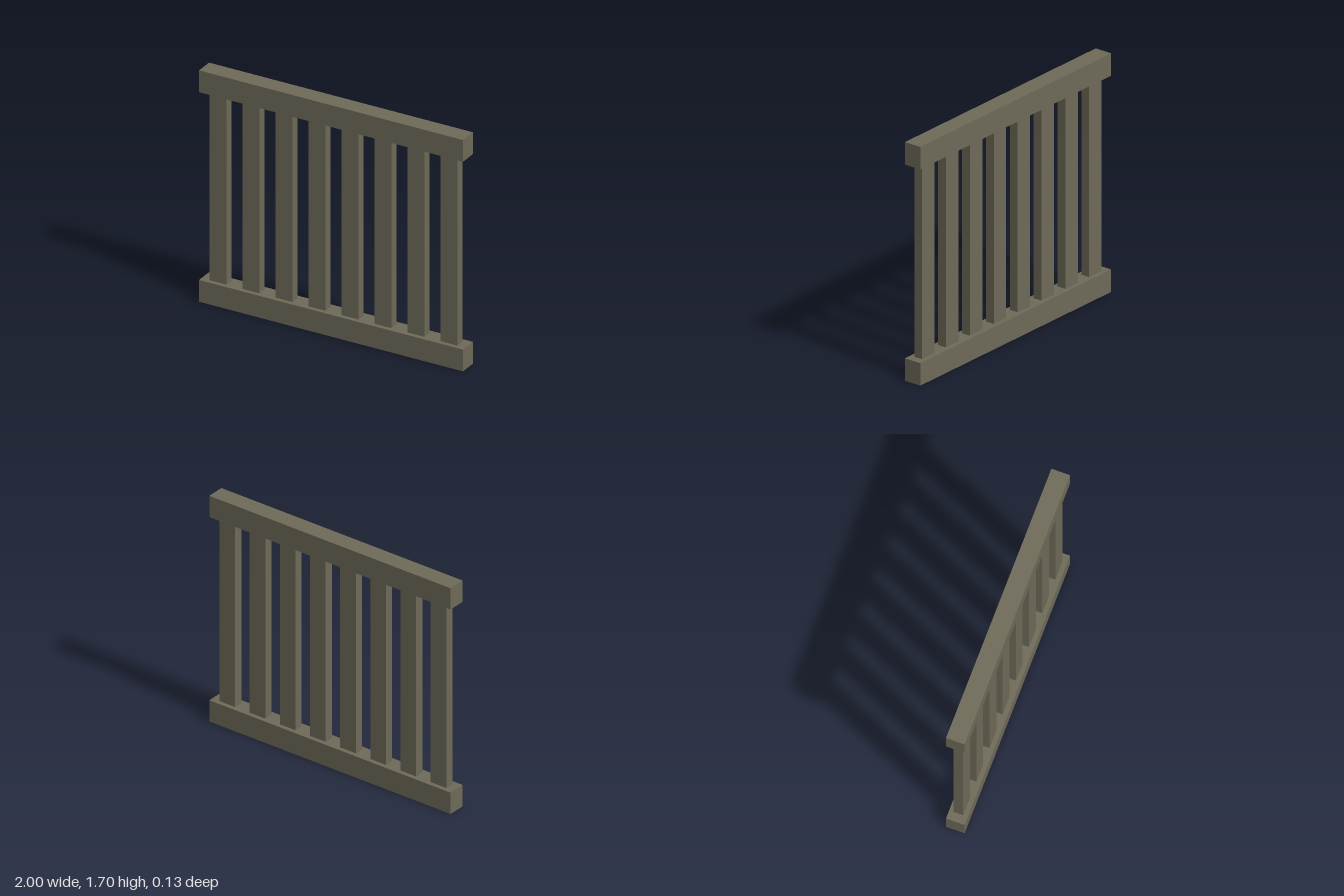
import * as THREE from 'three';

const WIDTH = 2, HEIGHT = 1.7;
const RAIL_HEIGHT = 0.16, RAIL_DEPTH = 0.13;
const SLAT_COUNT = 8, SLAT_WIDTH = 0.13, SLAT_DEPTH = 0.066;

export function createModel() {
  const group = new THREE.Group();
  group.name = 'railing';

  const wood = new THREE.MeshStandardMaterial({ color: 0x6e6a59 });
  wood.name = 'weathered wood';

  const addBox = (name, geometry, x, y) => {
    const mesh = new THREE.Mesh(geometry, wood);
    mesh.name = name;
    mesh.position.set(x, y, 0);
    group.add(mesh);
  };

  // Horizontal rails
  const rail = new THREE.BoxGeometry(WIDTH, RAIL_HEIGHT, RAIL_DEPTH);
  addBox('bottomRail', rail, 0, RAIL_HEIGHT / 2);
  addBox('topRail', rail, 0, HEIGHT - RAIL_HEIGHT / 2);

  // Evenly spaced upright slats between the rails
  const slat = new THREE.BoxGeometry(SLAT_WIDTH, HEIGHT - 2 * RAIL_HEIGHT, SLAT_DEPTH);
  const spacing = WIDTH / SLAT_COUNT;
  for (let i = 0; i < SLAT_COUNT; i++) {
    addBox(`slat${i + 1}`, slat, (i + 0.5) * spacing - WIDTH / 2, HEIGHT / 2);
  }

  return group;
}
